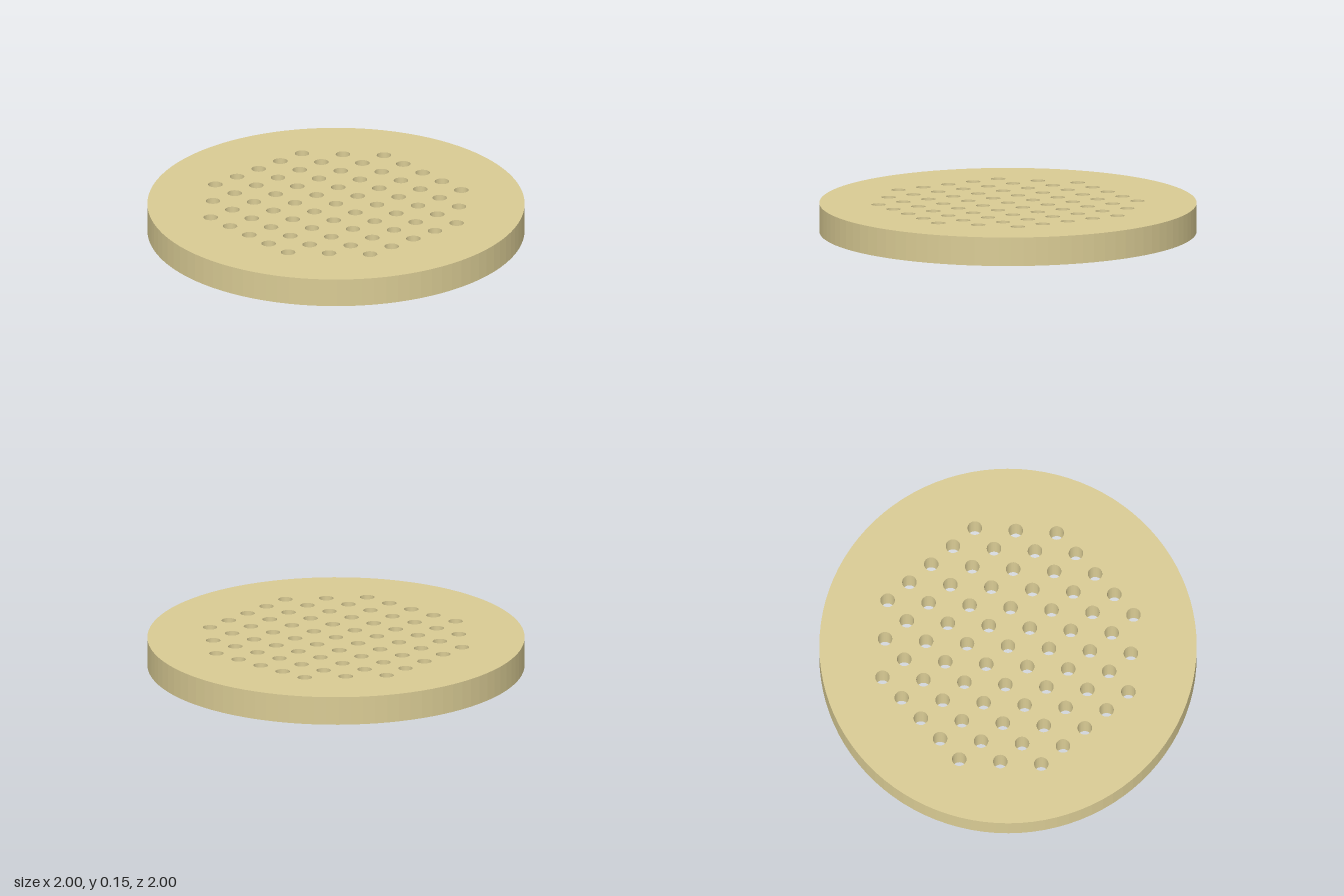
import * as THREE from 'three';

const RADIUS = 1;
const PITCH = 2 / 13; // hole spacing, also the disc thickness
const HOLE_RADIUS = PITCH / 4;

// Closed circle as points, so disc and holes can differ in segment count
function circlePoints(cx, cy, radius, segments) {
  return Array.from({ length: segments }, (_, k) => {
    const a = (k / segments) * Math.PI * 2;
    return new THREE.Vector2(cx + radius * Math.cos(a), cy + radius * Math.sin(a));
  });
}

export function createModel() {
  const group = new THREE.Group();
  group.name = 'perforatedDisc';

  // Disc outline
  const outline = new THREE.Shape(circlePoints(0, 0, RADIUS, 96));

  // Square grid of through holes, kept inside a circle
  for (let i = -4; i <= 4; i++) {
    for (let j = -4; j <= 4; j++) {
      if (i * i + j * j > 20) continue;
      outline.holes.push(new THREE.Path(circlePoints(i * PITCH, j * PITCH, HOLE_RADIUS, 32)));
    }
  }

  // Plate lying flat on the ground
  const geometry = new THREE.ExtrudeGeometry(outline, { depth: PITCH, bevelEnabled: false });
  geometry.rotateX(-Math.PI / 2);
  const plate = new THREE.Mesh(geometry, new THREE.MeshStandardMaterial({ color: 0xd9cb94 }));
  plate.name = 'plate';
  group.add(plate);

  return group;
}
